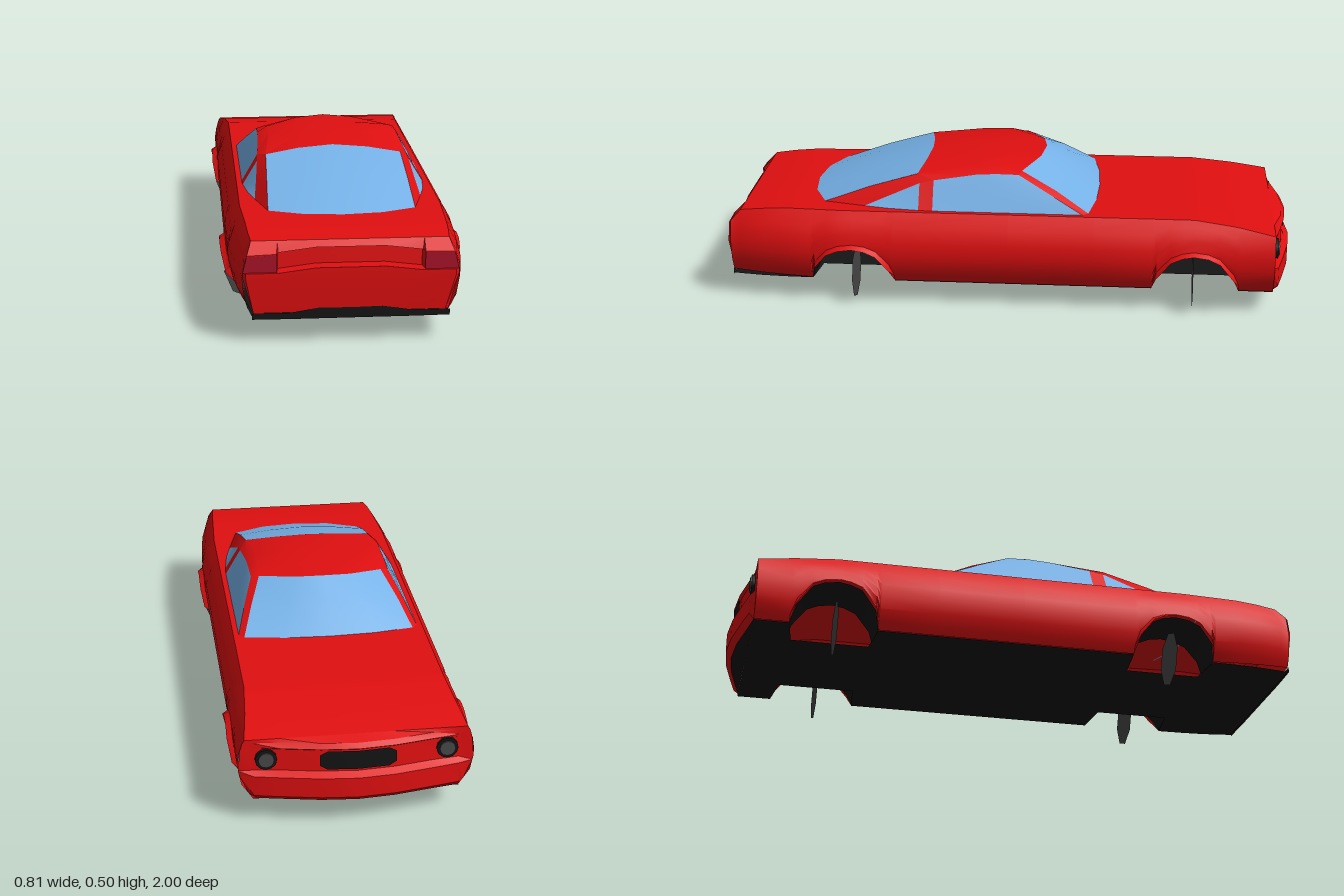
import * as THREE from 'three';
import { toCreasedNormals } from 'three/addons/utils/BufferGeometryUtils.js';

const mat = (name, color) => new THREE.MeshStandardMaterial({ name, color, side: THREE.DoubleSide });

// piecewise linear lookup in [[key, value], ...] with rising keys
function lerpTable(t, k) {
  if (k <= t[0][0]) return t[0][1];
  for (let i = 1; i < t.length; i++) {
    const [a, va] = t[i - 1], [b, vb] = t[i];
    if (k <= b) return va + (vb - va) * (k - a) / (b - a);
  }
  return t[t.length - 1][1];
}

// surface through rows of points
function loft(rows, crease = 0.5) {
  const n = rows[0].length, idx = [];
  for (let r = 0; r < rows.length - 1; r++) for (let i = 0; i < n - 1; i++) {
    const a = r * n + i, b = a + 1, c = a + n, d = c + 1;
    idx.push(a, c, b, b, c, d);
  }
  const g = new THREE.BufferGeometry();
  g.setAttribute('position', new THREE.Float32BufferAttribute(rows.flat(2), 3));
  g.setIndex(idx);
  return toCreasedNormals(g, crease);
}

const flip = ([x, y, z]) => [-x, y, z];
// half row starting at the centre line -> full row
const fullRow = (half) => [...half.slice(1).reverse().map(flip), ...half];

// body tables
const profile = [[0.08, 0.335], [0.14, 0.375], [0.2, 0.387], [0.24, 0.385], [0.29, 0.37], [0.345, 0.335]];
const widths = [[0.6, 1], [0.85, 0.96], [0.955, 0.91], [0.99, 0.89]];
const tops = [[-0.93, 0.3], [-0.8, 0.325], [-0.65, 0.343], [0.8, 0.343], [0.88, 0.337], [0.955, 0.328], [0.99, 0.29]];
const sideX = (y, z) => lerpTable(profile, y) * lerpTable(widths, z);
// stations along the body: z and height of the lower edge, wheel arches included
const stations = [
  [-0.93, 0.085], [-0.81, 0.085], [-0.79, 0.14], [-0.74, 0.205], [-0.70, 0.223], [-0.65, 0.23], [-0.61, 0.223],
  [-0.57, 0.205], [-0.52, 0.14], [-0.505, 0.085], [-0.3, 0.085], [0, 0.085], [0.405, 0.085], [0.42, 0.14],
  [0.465, 0.195], [0.505, 0.213], [0.55, 0.22], [0.6, 0.213], [0.64, 0.195], [0.685, 0.14], [0.70, 0.085],
  [0.8, 0.09], [0.88, 0.094], [0.955, 0.098], [0.99, 0.1]];

export function createModel() {
  const red = mat('bodyRed', 0xe00f10), glass = mat('windowBlue', 0x76b2e8), black = mat('trimBlack', 0x141414);
  const grey = mat('wheelGrey', 0x484848), lamp = mat('tailLightCrimson', 0xa81228);
  const car = new THREE.Group();
  car.name = 'car';
  const add = (name, geo, m) => {
    const mesh = new THREE.Mesh(geo, m);
    mesh.name = name;
    car.add(mesh);
    return mesh;
  };
  const addPair = (name, rows, m, crease) => {
    add('left' + name, loft(rows, crease), m);
    add('right' + name, loft(rows.map((r) => r.map(flip)), crease), m);
  };

  // body sides with flared wheel arches
  const isArch = (yb) => yb > 0.12;
  const ts = [0, 0.1, 0.25, 0.42, 0.6, 0.8, 1];
  addPair('BodySide', stations.map(([z, yb]) => ts.map((t, k) => {
    const y = yb + (lerpTable(tops, z) - yb) * t;
    return [sideX(y, z) + (isArch(yb) && k < 1 ? 0.018 : 0), y, z];
  })), red, 0.6);

  // hood and deck
  add('hoodAndDeck', loft(stations.filter(([z]) => z < 0.97).map(([z]) => {
    const y = lerpTable(tops, z), x = sideX(y, z);
    return fullRow([[0, y, z], [x * 0.5, y, z], [x, y, z]]);
  })), red);

  // floor, notched at the wheels
  add('floor', loft(stations.map(([z, yb]) => {
    const x = isArch(yb) ? 0.2 : sideX(yb, z);
    return [[-x, 0.083, z], [x, 0.083, z]];
  })), black);

  // wheel housings and wheels
  const arches = { Front: [-0.82, -0.5, -0.65], Rear: [0.4, 0.71, 0.55] };
  for (const [end, [z0, z1, zc]] of Object.entries(arches)) {
    addPair(end + 'WheelHousing', stations.filter(([z]) => z > z0 && z < z1)
      .map(([z, yb]) => [[0.2, yb, z], [sideX(yb, z), yb, z]]), black);
    for (const s of [1, -1]) {
      add((s > 0 ? 'left' : 'right') + end + 'Wheel', new THREE.CircleGeometry(0.1, 8), grey).position.set(s * 0.29, 0.1, zc);
    }
  }

  // nose: lip, recessed grille band and bumper on a pointed plan
  const plan = [[0, -1], [0.12, -0.99], [0.25, -0.965], [0.335, -0.947]];
  const noseX = [0, 0.12, 0.25, 0.335];
  const noseRows = [[0.3, null], [0.288, 0.03], [0.272, 0.018], [0.265, 0.028], [0.19, 0.024],
    [0.175, 0], [0.105, 0], [0.085, 0.02]];
  add('nose', loft(noseRows.map(([y, inset]) => {
    const x = sideX(y, -0.93);
    const pts = noseX.map((px) => [Math.min(px, x - 0.015), y,
      inset === null ? -0.93 : Math.min(-0.93, lerpTable(plan, px) + inset)]);
    return fullRow([...pts, [x, y, -0.93]]);
  })), red, 0.4);
  add('noseUnderside', loft([
    fullRow([...noseX.map((x) => [x, 0.085, lerpTable(plan, x) + 0.02]), [0.337, 0.085, -0.93]]),
    fullRow([...noseX.map((x) => [x, 0.085, -0.93]), [0.337, 0.085, -0.93]])]), black);
  const grilleZ = (x) => lerpTable(plan, x) + 0.02;
  add('grille', loft([[0.264, 0.25], [0.198, 0.212]].map(([yMid, yEnd]) =>
    fullRow([[0, yMid, grilleZ(0)], [0.1, yMid, grilleZ(0.1)], [0.125, yEnd, grilleZ(0.125)]]))), black);

  // headlights
  for (const s of [1, -1]) {
    const side = s > 0 ? 'left' : 'right';
    const ring = add(side + 'HeadlightRing', new THREE.CylinderGeometry(0.036, 0.036, 0.012, 12), black);
    ring.position.set(s * 0.295, 0.232, -0.938);
    const lens = add(side + 'HeadlightLens', new THREE.CylinderGeometry(0.026, 0.026, 0.008, 12), grey);
    lens.position.set(s * 0.295, 0.232, -0.945);
    for (const m of [ring, lens]) m.rotation.set(Math.PI / 2, 0, 0);
  }

  // tail: lip, recessed panel and bumper; each row is [outer y, outer z, inner y, inner z, centre y]
  const tailRows = [
    [0.328, 0.955, 0.328, 0.955, 0.328], [0.29, 0.99, 0.293, 0.972, 0.308], [0.288, 0.99, 0.29, 0.948, 0.304],
    [0.235, 0.99, 0.235, 0.952, 0.25], [0.234, 0.99, 0.234, 1, 0.249], [0.218, 0.99, 0.218, 1, 0.23],
    [0.1, 0.99, 0.1, 0.99, 0.1]];
  add('tail', loft(tailRows.map(([oy, oz, iy, iz, cy], r) => {
    const x = sideX(oy, oz), corner = r > 0 && r < 4 ? 0.99 : iz;
    return fullRow([[0, cy, iz], [0.11, cy, iz], [0.23, iy, iz], [0.236, iy, corner], [x - 0.01, oy, corner], [x, oy, oz]]);
  }), 0.4), red);
  addPair('TailLight', [
    [[0.235, 0.291, 0.994], [sideX(0.287, 0.99), 0.287, 0.994]],
    [[0.235, 0.235, 0.994], [sideX(0.235, 0.99), 0.235, 0.994]]], lamp);
  add('rearValance', loft([
    fullRow([[0, 0.114, 0.995], [0.1, 0.116, 0.995], [0.2, 0.1, 0.995], [0.315, 0.1, 0.992]]),
    fullRow([[0, 0.08, 0.995], [0.1, 0.08, 0.995], [0.2, 0.08, 0.995], [0.315, 0.08, 0.992]])]), black);

  // roof
  add('roof', loft([
    [[0, 0.49, -0.115], [0.1, 0.484, -0.1], [0.222, 0.468, -0.04], [0.25, 0.462, -0.03]],
    [[0, 0.495, 0], [0.1, 0.486, 0], [0.218, 0.482, 0.03], [0.252, 0.464, 0.05]],
    [[0, 0.494, 0.14], [0.1, 0.485, 0.14], [0.215, 0.48, 0.13], [0.253, 0.46, 0.12]],
    [[0, 0.476, 0.3], [0.12, 0.468, 0.31], [0.235, 0.452, 0.33], [0.262, 0.438, 0.27]],
  ].map(fullRow)), red);

  // windscreen and rear window
  add('windscreen', loft([
    [[0, 0.49, -0.115], [0.1, 0.484, -0.1], [0.222, 0.468, -0.04]],
    [[0, 0.425, -0.212], [0.13, 0.42, -0.203], [0.263, 0.41, -0.165]],
    [[0, 0.342, -0.31], [0.16, 0.342, -0.303], [0.3, 0.342, -0.28]]].map(fullRow)), glass);
  add('rearWindow', loft([
    [[0, 0.476, 0.3], [0.12, 0.468, 0.31], [0.235, 0.452, 0.33]],
    [[0, 0.423, 0.5], [0.12, 0.417, 0.5], [0.24, 0.402, 0.5]],
    [[0, 0.342, 0.73], [0.13, 0.342, 0.715], [0.245, 0.342, 0.665]]].map(fullRow)), glass);

  // pillars
  addPair('FrontPillar', [
    [[0.222, 0.468, -0.04], [0.25, 0.462, -0.03]],
    [[0.263, 0.41, -0.165], [0.286, 0.403, -0.145]],
    [[0.3, 0.342, -0.28], [0.318, 0.342, -0.26]]], red);
  addPair('MiddlePillar', [
    [[0.262, 0.438, 0.27], [0.265, 0.427, 0.32]],
    [[0.318, 0.342, 0.27], [0.316, 0.342, 0.32]]], red);
  addPair('RearPillar', [
    [[0.235, 0.452, 0.33], [0.236, 0.443, 0.36], [0.24, 0.402, 0.5], [0.245, 0.342, 0.665], [0.25, 0.342, 0.7]],
    [[0.262, 0.438, 0.27], [0.265, 0.427, 0.32], [0.274, 0.38, 0.43], [0.282, 0.343, 0.515], [0.275, 0.342, 0.6]]], red);

  // side glass
  addPair('SideWindow', [
    [[0.25, 0.462, -0.03], [0.252, 0.464, 0.05], [0.253, 0.46, 0.12], [0.262, 0.438, 0.27]],
    [[0.286, 0.403, -0.145], [0.287, 0.403, 0], [0.288, 0.4, 0.11], [0.29, 0.39, 0.27]],
    [[0.318, 0.342, -0.26], [0.318, 0.342, -0.05], [0.318, 0.342, 0.1], [0.318, 0.342, 0.27]]], glass);
  addPair('QuarterWindow', [
    [[0.265, 0.427, 0.32], [0.274, 0.38, 0.43], [0.282, 0.343, 0.515]],
    [[0.316, 0.342, 0.32], [0.302, 0.342, 0.43], [0.283, 0.342, 0.516]]], glass);

  return car;
}
